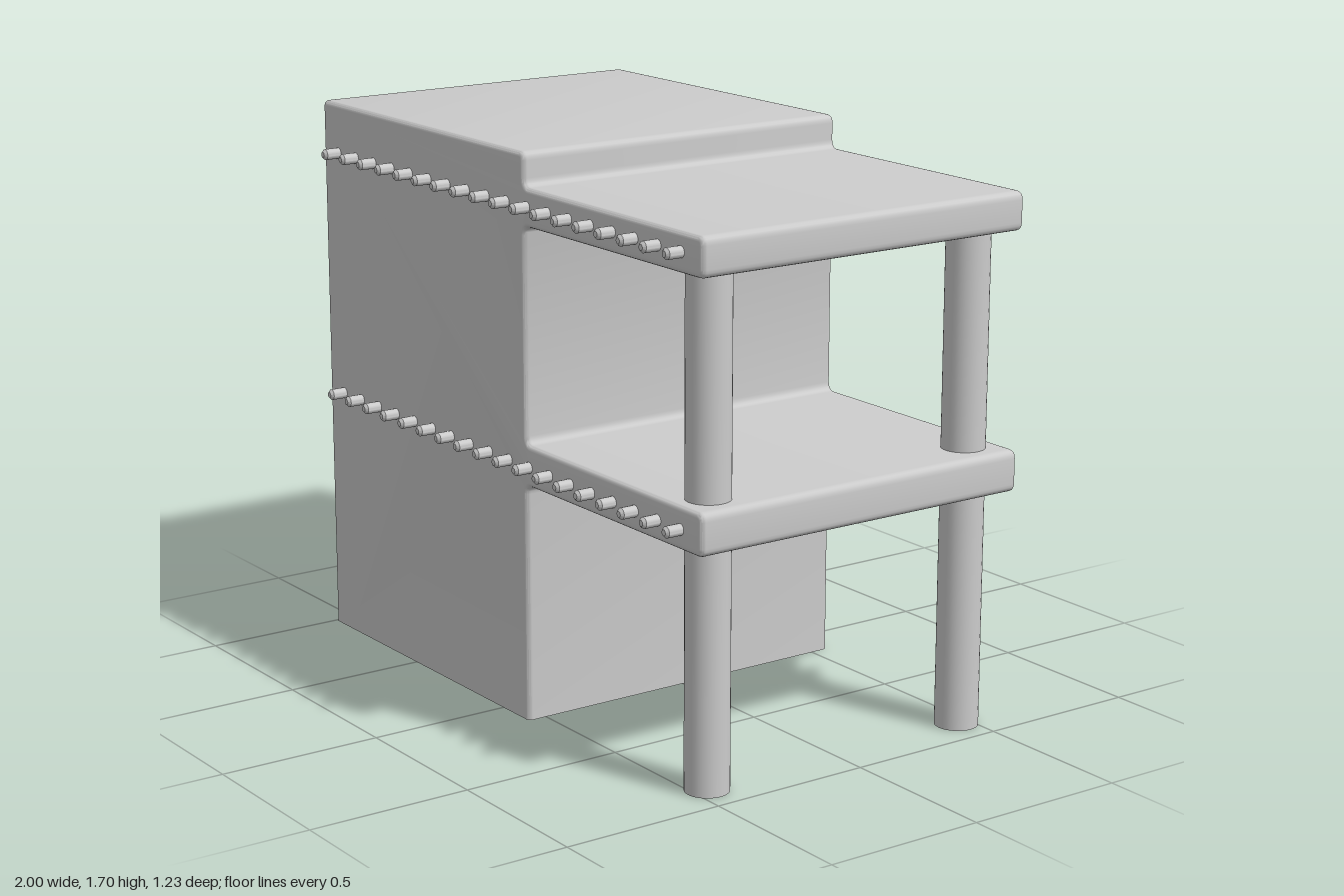
import * as THREE from 'three';
import { toCreasedNormals } from 'three/addons/utils/BufferGeometryUtils.js';

const HALF_DEPTH = 0.56;

// Closed outline whose corners [x, y, radius] are rounded where a radius is given
function roundedOutline(corners) {
  const shape = new THREE.Shape();
  const n = corners.length;
  corners.forEach(([x, y, r], i) => {
    const p = new THREE.Vector2(x, y);
    const toward = ([qx, qy]) =>
      new THREE.Vector2(qx, qy).sub(p).normalize().multiplyScalar(r).add(p);
    const a = toward(corners[(i + n - 1) % n]);
    const b = toward(corners[(i + 1) % n]);
    if (i === 0) shape.moveTo(a.x, a.y);
    else shape.lineTo(a.x, a.y);
    if (r > 0) shape.quadraticCurveTo(x, y, b.x, b.y);
  });
  return shape;
}

// Hollow block and its two decks: one soft-edged skin, open at the floor
function shellGeometry() {
  const r = 0.025, wall = 0.14;
  const outline = roundedOutline([
    [-1, -0.1, 0], [wall, -0.1, 0],
    [wall, 0.72, r], [1, 0.72, r], [1, 0.845, r], [wall, 0.845, r],
    [wall, 1.485, r], [1, 1.485, r], [1, 1.6, r], [wall, 1.6, r],
    [wall, 1.7, r], [-1, 1.7, 0.02],
  ]);
  const bevel = 0.015;
  const geo = new THREE.ExtrudeGeometry(outline, {
    depth: 2 * (HALF_DEPTH - bevel), curveSegments: 5,
    bevelSize: bevel, bevelThickness: bevel, bevelOffset: -bevel, bevelSegments: 4,
  });
  geo.translate(0, 0, -(HALF_DEPTH - bevel));

  // Cut level with the floor and leave the underside open
  const pos = geo.attributes.position;
  const kept = [];
  for (let i = 0; i < pos.count; i += 3) {
    const ids = [i, i + 1, i + 2];
    if (ids.every((k) => pos.getY(k) <= 0)) continue;
    for (const k of ids) kept.push(pos.getX(k), Math.max(0, pos.getY(k)), pos.getZ(k));
  }
  const open = new THREE.BufferGeometry();
  open.setAttribute('position', new THREE.Float32BufferAttribute(kept, 3));
  return toCreasedNormals(open, 0.7);
}

// Long pin with softened ends, lying along z
function pinGeometry() {
  const r = 0.017, h = 0.615, c = 0.008;
  const profile = [[0, -h], [r - c, -h], [r, -h + c], [r, h - c], [r - c, h], [0, h]]
    .map(([x, y]) => new THREE.Vector2(x, y));
  const geo = new THREE.LatheGeometry(profile, 14).rotateX(Math.PI / 2);
  return toCreasedNormals(geo, 0.6);
}

export function createModel() {
  const model = new THREE.Group();
  model.name = 'blockWithDecks';
  const material = new THREE.MeshStandardMaterial({ color: 0xcccccc, side: THREE.DoubleSide });

  const add = (parent, name, geometry, x, y, z) => {
    const mesh = new THREE.Mesh(geometry, material);
    mesh.name = name;
    mesh.position.set(x, y, z);
    parent.add(mesh);
  };

  add(model, 'blockAndDecks', shellGeometry(), 0, 0, 0);

  // Hollow posts carrying the decks
  const post = new THREE.CylinderGeometry(0.065, 0.065, 1.5, 32, 1, true);
  for (const side of [1, -1]) {
    add(model, side > 0 ? 'frontPost' : 'backPost', post, 0.885, 0.75, side * 0.455);
  }

  // A row of pins through each deck level
  const pin = pinGeometry();
  for (const [name, y] of [['lowerPins', 0.78], ['upperPins', 1.545]]) {
    const row = new THREE.Group();
    row.name = name;
    for (let i = 0; i < 18; i++) add(row, 'pin', pin, -0.91 + i * 0.1065, y, 0);
    model.add(row);
  }
  return model;
}
